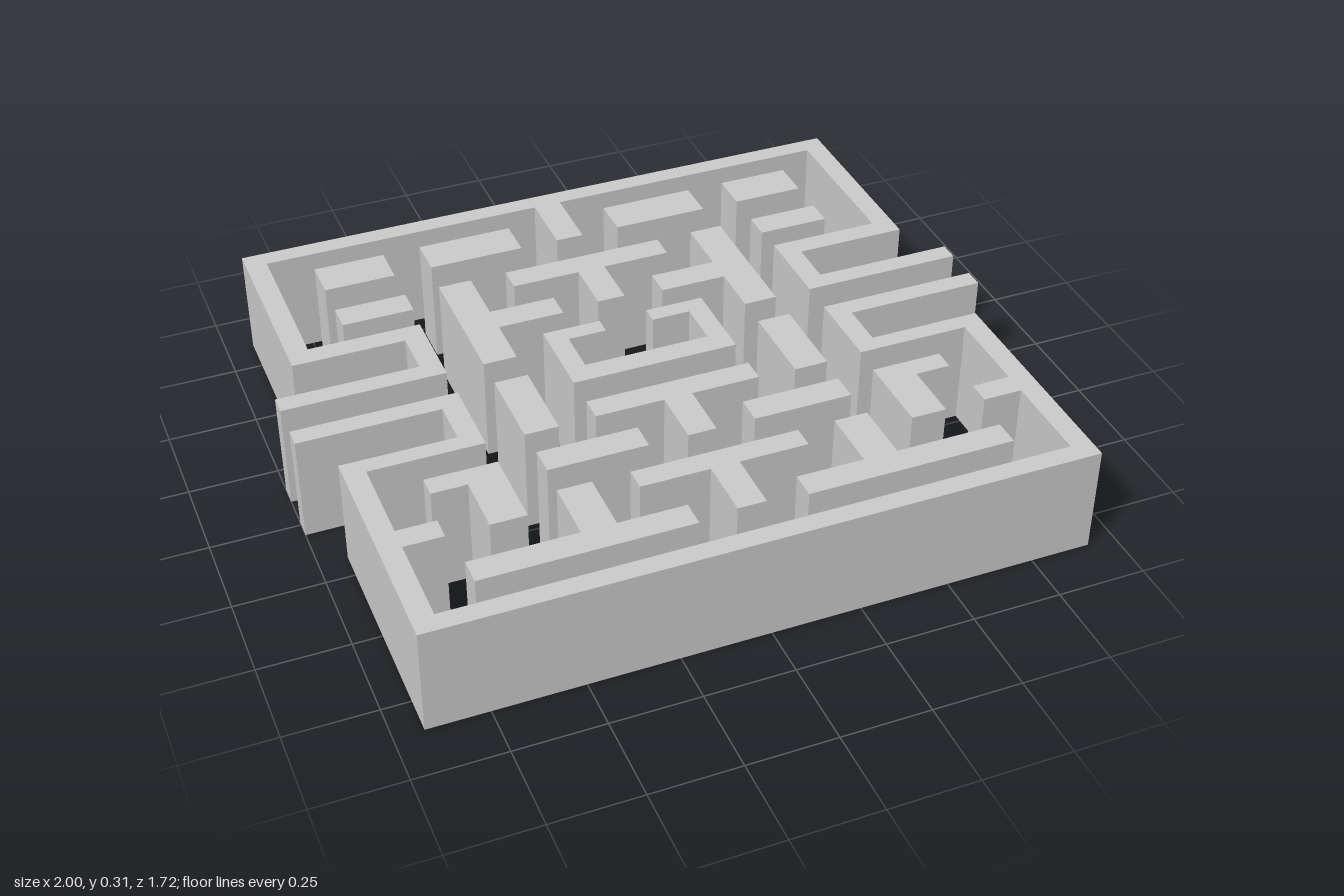
import * as THREE from 'three';

const HEIGHT = 0.31;
const material = new THREE.MeshStandardMaterial({ color: 0xcccccc });

// Upright wall from a plan outline of [x, z] corners
function wall(name, outline) {
  const shape = new THREE.Shape(outline.map(([x, z]) => new THREE.Vector2(x, -z)));
  const geometry = new THREE.ExtrudeGeometry(shape, { depth: HEIGHT, bevelEnabled: false });
  geometry.rotateX(-Math.PI / 2);
  const mesh = new THREE.Mesh(geometry, material);
  mesh.name = name;
  return mesh;
}

const flip = (outline) => outline.map(([x, z]) => [-x, z]).reverse();

// Outline whose +x half is given, closed by its mirror image
const symmetric = (half) => [...half, ...flip(half)];

const rect = (x0, x1, z0, z1) => [[x0, z0], [x1, z0], [x1, z1], [x0, z1]];

// T on the centre line: crossbar z0..z1, stem down to z2
const tee = (z0, z1, z2) => symmetric([[0.235, z0], [0.235, z1], [0.04, z1], [0.04, z2]]);

export function createModel() {
  const maze = new THREE.Group();
  maze.name = 'maze';

  // Walls crossing the centre line
  const centre = {
    // Back border with centre stub, folding in to the side tunnels
    backBorder: symmetric([
      [0.92, -0.86], [0.92, -0.29], [0.6, -0.29], [0.6, -0.16], [1, -0.16], [1, -0.105],
      [0.54, -0.105], [0.54, -0.35], [0.86, -0.35], [0.86, -0.805], [0.04, -0.805], [0.04, -0.61],
    ]),
    // Front border with a nub on each side
    frontBorder: symmetric([
      [0.86, 0.8], [0.86, 0.54], [0.75, 0.54], [0.75, 0.475], [0.86, 0.475], [0.86, 0.225],
      [0.54, 0.225], [0.54, -0.01], [1, -0.01], [1, 0.045], [0.6, 0.045], [0.6, 0.175],
      [0.92, 0.175], [0.92, 0.855],
    ]),
    backTee: tee(-0.505, -0.43, -0.27),
    middleTee: tee(0.155, 0.225, 0.39),
    frontTee: tee(0.475, 0.54, 0.71),
    // Small room open at the back
    centreRoom: symmetric([
      [0.18, 0], [0.18, -0.13], [0.07, -0.13], [0.07, -0.18], [0.237, -0.18], [0.237, 0.065],
    ]),
  };
  for (const [name, outline] of Object.entries(centre)) maze.add(wall(name, outline));

  // Walls repeated on both sides
  const sides = {
    OuterBackBlock: rect(0.535, 0.74, -0.725, -0.61),
    InnerBackBlock: rect(0.15, 0.425, -0.725, -0.61),
    OuterBackBar: rect(0.535, 0.74, -0.505, -0.425),
    SidewaysTee: [
      [0.34, -0.505], [0.435, -0.505], [0.435, -0.105], [0.34, -0.105],
      [0.34, -0.255], [0.15, -0.255], [0.15, -0.335], [0.34, -0.335],
    ],
    MiddlePost: rect(0.34, 0.435, -0.015, 0.23),
    FrontBar: rect(0.15, 0.43, 0.31, 0.39),
    CornerWall: [
      [0.535, 0.31], [0.735, 0.31], [0.735, 0.37], [0.635, 0.37], [0.635, 0.54], [0.535, 0.54],
    ],
    InvertedTee: [
      [0.34, 0.475], [0.435, 0.475], [0.435, 0.65], [0.735, 0.65],
      [0.735, 0.725], [0.15, 0.725], [0.15, 0.65], [0.34, 0.65],
    ],
  };
  for (const [name, outline] of Object.entries(sides)) {
    maze.add(wall('left' + name, outline), wall('right' + name, flip(outline)));
  }

  return maze;
}
